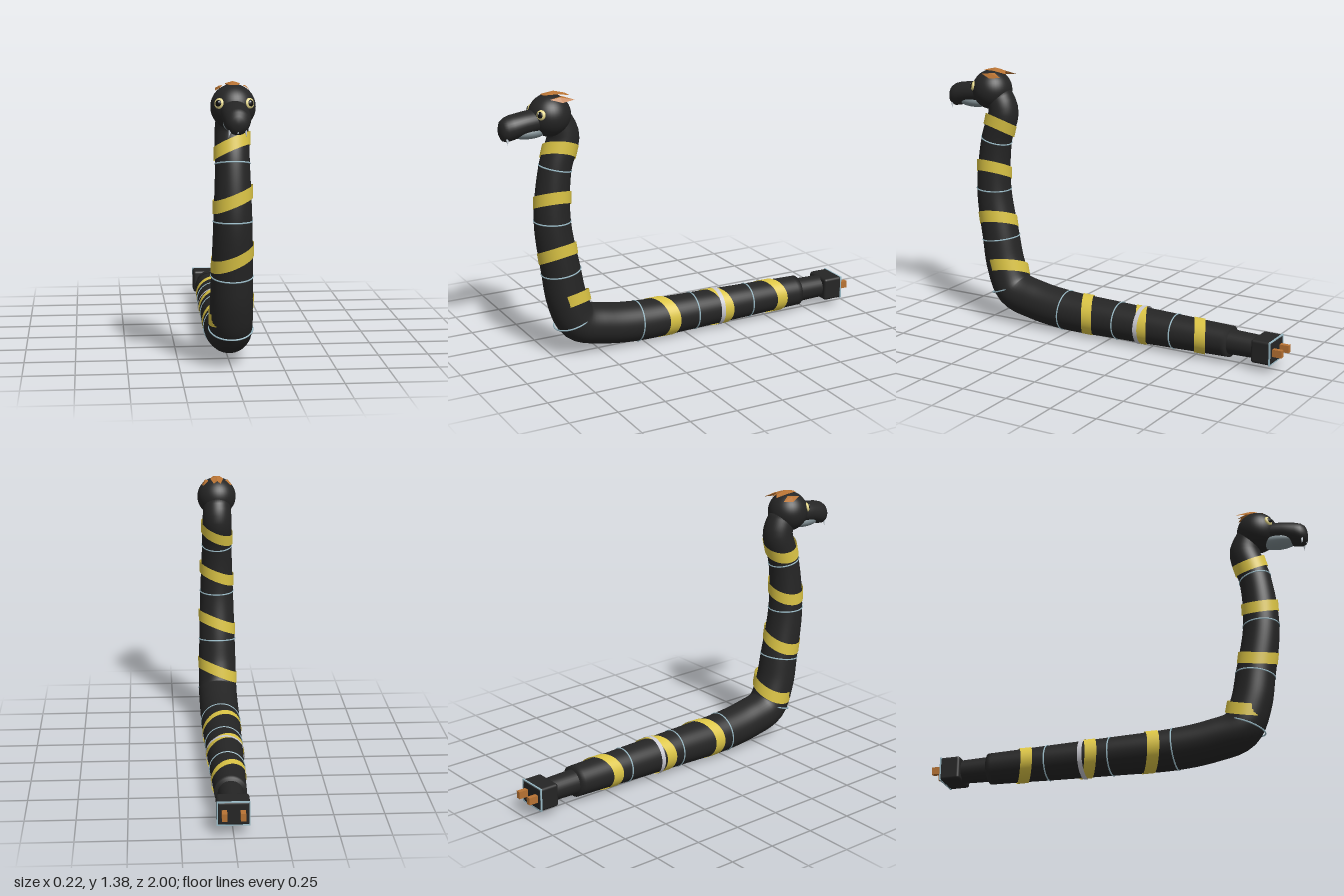
import * as THREE from 'three';
import { RoundedBoxGeometry } from 'three/addons/geometries/RoundedBoxGeometry.js';

const paint = (name, color, side = THREE.FrontSide) => {
  const m = new THREE.MeshStandardMaterial({ color, side });
  m.name = name;
  return m;
};

// Closed skin through elliptical sections {y, z, rx, ry} lying across a path in the yz plane
function loft(sections, sides, upright = false) {
  const pos = [], index = [], last = sections.length - 1;
  sections.forEach((s, i) => {
    const a = sections[Math.max(0, i - 1)], b = sections[Math.min(last, i + 1)];
    const angle = upright ? 0 : Math.atan2(b.y - a.y, b.z - a.z);
    for (let j = 0; j < sides; j++) {
      const t = (j / sides) * Math.PI * 2, up = Math.sin(t) * s.ry;
      pos.push(Math.cos(t) * s.rx, s.y + up * Math.cos(angle), s.z - up * Math.sin(angle));
    }
  });
  for (let i = 0; i < last; i++) for (let j = 0; j < sides; j++) {
    const k = (j + 1) % sides, a = i * sides + j, b = i * sides + k;
    index.push(a, b, b + sides, a, b + sides, a + sides);
  }
  // end caps
  [0, last].forEach((i) => {
    const c = pos.length / 3;
    pos.push(0, sections[i].y, sections[i].z);
    for (let j = 0; j < sides; j++) {
      const a = i * sides + j, b = i * sides + (j + 1) % sides;
      index.push(c, ...(i ? [a, b] : [b, a]));
    }
  });
  const g = new THREE.BufferGeometry();
  g.setAttribute('position', new THREE.Float32BufferAttribute(pos, 3));
  g.setIndex(index);
  g.computeVertexNormals();
  return g;
}

// Flat-sided fan of triangles around a raised centre
function fan(centre, rim) {
  const pos = [];
  rim.forEach((p, i) => pos.push(...centre, ...p, ...rim[(i + 1) % rim.length]));
  const g = new THREE.BufferGeometry();
  g.setAttribute('position', new THREE.Float32BufferAttribute(pos, 3));
  g.computeVertexNormals();
  return g;
}

export function createModel() {
  const model = new THREE.Group();
  const black = paint('rubber black', 0x252525);
  const yellow = paint('stripe yellow', 0xdcc545, THREE.DoubleSide);
  const copper = paint('copper', 0xb87333, THREE.DoubleSide);
  const blue = paint('pale blue trim', 0x9bbcc8);
  const white = paint('tooth white', 0xdde6ee);
  const silver = paint('silver band', 0xc8c8d0, THREE.DoubleSide);
  const cream = paint('eye yellow', 0xe6d88a);
  const grey = paint('jaw grey', 0x7f8d92);
  const pitch = paint('pupil black', 0x0c0c0c);

  const add = (name, geometry, material, x = 0, y = 0, z = 0, parent = model) => {
    const m = new THREE.Mesh(geometry, material);
    m.name = name;
    m.position.set(x, y, z);
    parent.add(m);
    return m;
  };

  // Body: each path point is [z, y, radius], from tail to neck
  const path = [
    [-0.70, 0.108, 0.08], [-0.54, 0.108, 0.084], [-0.38, 0.108, 0.089], [-0.05, 0.108, 0.097],
    [0.28, 0.112, 0.105], [0.47, 0.136, 0.106], [0.61, 0.18, 0.106], [0.668, 0.305, 0.104],
    [0.697, 0.46, 0.1], [0.737, 0.73, 0.092], [0.715, 1.0, 0.082], [0.668, 1.16, 0.08], [0.70, 1.25, 0.072],
  ];
  const curve = new THREE.CatmullRomCurve3(path.map(([z, y, r]) => new THREE.Vector3(r, y, z)));
  add('body', loft(curve.getSpacedPoints(90).map((p) => ({ y: p.y, z: p.z, rx: p.x, ry: p.x })), 48), black);

  // Slanted stripes: [z, y, lean from vertical, radius, slant]
  const flat = Math.PI / 2;
  const hoop = (name, material, z, y, lean, r, width, slant) => {
    const g = new THREE.CylinderGeometry(r, r, width, 48, 1, true);
    const p = g.attributes.position;
    for (let i = 0; i < p.count; i++) p.setY(i, p.getY(i) + slant * p.getX(i));
    g.rotateX(lean);
    add(name, g, material, 0, y, z);
  };
  [
    [0.145, 0.11, flat, 0.106, -0.45], [-0.18, 0.108, flat, 0.099, -0.47], [-0.52, 0.108, flat, 0.09, -0.5],
    [0.652, 0.29, 0.2, 0.108, 0.42], [0.713, 0.555, 0.15, 0.102, 0.4],
    [0.734, 0.835, -0.03, 0.095, 0.4], [0.692, 1.08, -0.27, 0.088, 0.42],
  ].forEach(([z, y, lean, r, slant]) => hoop('stripe', yellow, z, y, lean, r, 0.062, slant));
  hoop('silverBand', silver, -0.192, 0.108, flat, 0.1015, 0.024, 0);

  // Thin rings at the body joints
  [
    [-0.385, 0.108, flat, 0.089], [-0.05, 0.108, flat, 0.097], [0.28, 0.112, 1.5, 0.105],
    [0.635, 0.19, 0.36, 0.106], [0.697, 0.46, 0.15, 0.1], [0.737, 0.73, -0.03, 0.092], [0.715, 1.0, -0.24, 0.082],
  ].forEach(([z, y, lean, r]) => {
    const g = new THREE.TorusGeometry(r, 0.004, 6, 48);
    g.rotateX(lean - flat);
    add('jointRing', g, blue, 0, y, z);
  });

  // Tail plug
  const tailNeck = new THREE.CylinderGeometry(0.064, 0.06, 0.16, 32);
  tailNeck.rotateX(flat);
  add('tailNeck', tailNeck, black, 0, 0.107, -0.77);
  add('plug', new RoundedBoxGeometry(0.16, 0.122, 0.108, 3, 0.014), black, 0, 0.107, -0.896);
  for (const s of [-1, 1]) {
    add('plugTrimSide', new THREE.BoxGeometry(0.006, 0.114, 0.008), blue, s * 0.077, 0.107, -0.945);
    add('plugTrimEdge', new THREE.BoxGeometry(0.16, 0.006, 0.008), blue, 0, 0.107 + s * 0.058, -0.945);
    add('prong', new THREE.BoxGeometry(0.025, 0.038, 0.06), copper, s * 0.044, 0.108, -0.97);
  }

  // Head and snout
  add('head', new THREE.SphereGeometry(0.106, 40, 28), black, 0, 1.27, 0.737);
  const snout = [
    [0.72, 1.25, 0.062, 0.05], [0.82, 1.25, 0.066, 0.058], [0.88, 1.243, 0.066, 0.058], [0.94, 1.23, 0.064, 0.062],
    [0.97, 1.223, 0.057, 0.06], [0.988, 1.22, 0.046, 0.05], [0.997, 1.219, 0.028, 0.032], [1.0, 1.219, 0.008, 0.01],
  ];
  add('snout', loft(snout.map(([z, y, rx, ry]) => ({ z, y, rx, ry })), 32, true), black);
  add('lowerJaw', new THREE.SphereGeometry(1, 28, 16), grey, 0, 1.2, 0.85).scale.set(0.056, 0.035, 0.1);
  add('frontTooth', new THREE.SphereGeometry(0.008, 12, 8), white, 0, 1.178, 0.985);

  for (const s of [-1, 1]) {
    add('nostril', new THREE.SphereGeometry(0.006, 10, 8), pitch, s * 0.025, 1.228, 0.986);
    const fang = add('fang', new THREE.ConeGeometry(0.01, 0.045, 12), white, s * 0.037, 1.175, 0.974);
    fang.rotation.set(Math.PI, 0, s * -0.2);

    // Eye, facing outward from the head centre
    const eye = new THREE.Group();
    eye.name = 'eye';
    eye.position.set(s * 0.07, 1.292, 0.81);
    eye.lookAt(s * 0.125, 1.312, 0.895);
    model.add(eye);
    add('eyeball', new THREE.SphereGeometry(0.025, 20, 14), cream, 0, 0, 0, eye).scale.z = 0.5;
    add('pupil', new THREE.SphereGeometry(0.016, 16, 10), pitch, 0, 0, 0.008, eye).scale.z = 0.5;
    add('eyeGlint', new THREE.SphereGeometry(0.004, 8, 6), white, s * -0.005, 0.006, 0.014, eye);

    // Side crest plate
    add('sideCrest', fan([s * 0.063, 1.366, 0.705], [
      [s * 0.062, 1.36, 0.76], [s * 0.082, 1.342, 0.70], [s * 0.075, 1.35, 0.635], [s * 0.046, 1.368, 0.69],
    ]), copper);
  }

  // Middle crest plate with a raised ridge and a free tip at the back
  add('middleCrest', fan([0, 1.388, 0.715], [
    [-0.02, 1.374, 0.775], [0.02, 1.374, 0.775], [0.036, 1.376, 0.70],
    [0.018, 1.36, 0.635], [0, 1.372, 0.655], [-0.018, 1.36, 0.635], [-0.036, 1.376, 0.70],
  ]), copper);

  return model;
}
